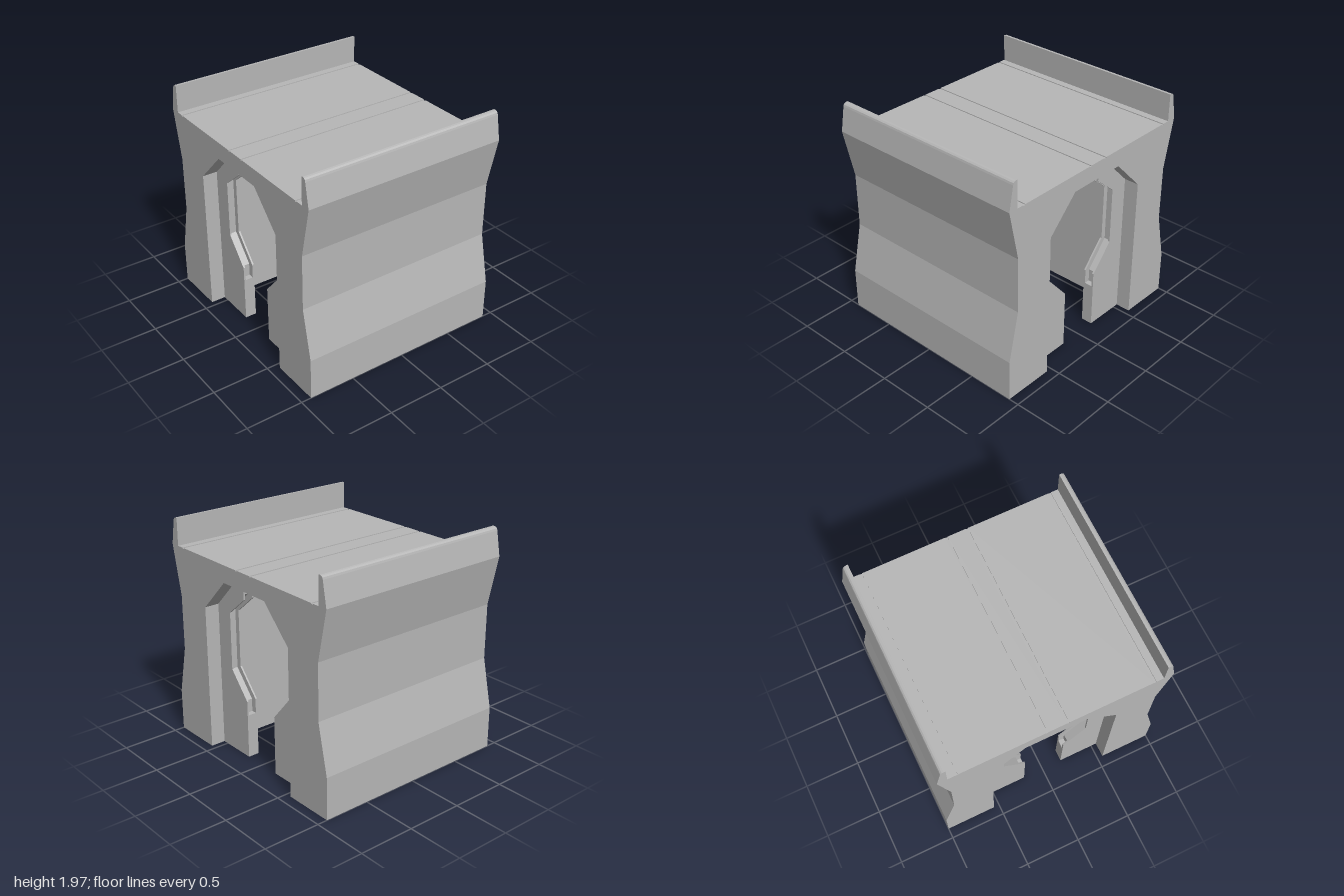
import * as THREE from 'three';

const HALF_LENGTH = 0.91;

// Extrudes a [z, y] profile along x, from x0 to x1
function extrudeX(profile, x0, x1, material, name) {
  const shape = new THREE.Shape(profile.map(([z, y]) => new THREE.Vector2(-z, y)));
  const geometry = new THREE.ExtrudeGeometry(shape, { depth: x1 - x0, bevelEnabled: false });
  geometry.translate(0, 0, x0);
  geometry.rotateY(Math.PI / 2);
  const mesh = new THREE.Mesh(geometry, material);
  mesh.name = name;
  return mesh;
}

const mirrorZ = (profile) => profile.map(([z, y]) => [-z, y]);

export function createModel() {
  const model = new THREE.Group();
  model.name = 'wallPassage';
  const concrete = new THREE.MeshStandardMaterial({ color: 0xb6b6b6 });
  concrete.name = 'concrete grey';

  // Main block: waisted outer walls, chamfered tunnel, shallow grooves in the deck
  const outerSide = [[0.55, 0], [1, 0], [1, 0.37], [0.905, 0.805], [0.905, 1.29], [1, 1.73]];
  const deck = [];
  for (const z of [0.84, 0.09, -0.09, -0.84]) {
    deck.push([z + 0.01, 1.73], [z + 0.01, 1.723], [z - 0.01, 1.723], [z - 0.01, 1.73]);
  }
  const tunnel = [[-0.55, 1.29], [-0.265, 1.58], [0.265, 1.58], [0.55, 1.29]];
  const block = [...outerSide, ...deck, ...mirrorZ(outerSide).reverse(), ...tunnel];
  model.add(extrudeX(block, -HALF_LENGTH, HALF_LENGTH, concrete, 'mainBlock'));

  // Parapets along both deck edges
  const parapet = [[0.915, 1.73], [1, 1.73], [0.962, 1.94], [0.957, 1.956],
    [0.945, 1.966], [0.93, 1.97], [0.915, 1.97]];

  // Gate jambs: solid foot, with a grooved track between two lips above it
  const foot = [[0.55, 0], [0.55, 0.39], [0.185, 0.39], [0.185, 0]];
  const lip = [[0.55, 0.39], [0.55, 1.29], [0.265, 1.58], [0.185, 1.58], [0.185, 1.425],
    [0.385, 1.26], [0.385, 0.75], [0.185, 0.52], [0.185, 0.39]];
  const core = [[0.55, 0.39], [0.55, 1.29], [0.265, 1.58], [0.235, 1.58], [0.235, 1.45],
    [0.43, 1.285], [0.43, 0.73], [0.235, 0.505], [0.235, 0.39]];

  for (const side of [1, -1]) {
    const place = (p) => (side > 0 ? p : mirrorZ(p));
    const label = side > 0 ? 'front' : 'back';
    model.add(extrudeX(place(parapet), -HALF_LENGTH, HALF_LENGTH, concrete, label + 'Parapet'));

    for (const end of [1, -1]) {
      const jamb = new THREE.Group();
      jamb.name = label + (end > 0 ? 'Left' : 'Right') + 'GateJamb';
      const x = end * 0.73;
      jamb.add(
        extrudeX(place(foot), x - 0.05, x + 0.05, concrete, 'jambFoot'),
        extrudeX(place(core), x - 0.035, x + 0.035, concrete, 'trackBed'),
        extrudeX(place(lip), x - 0.05, x - 0.035, concrete, 'trackLip'),
        extrudeX(place(lip), x + 0.035, x + 0.05, concrete, 'trackLip'),
      );
      model.add(jamb);
    }
  }

  // Centre the height range on the ground
  model.position.set(0, 0, 0);
  return model;
}
